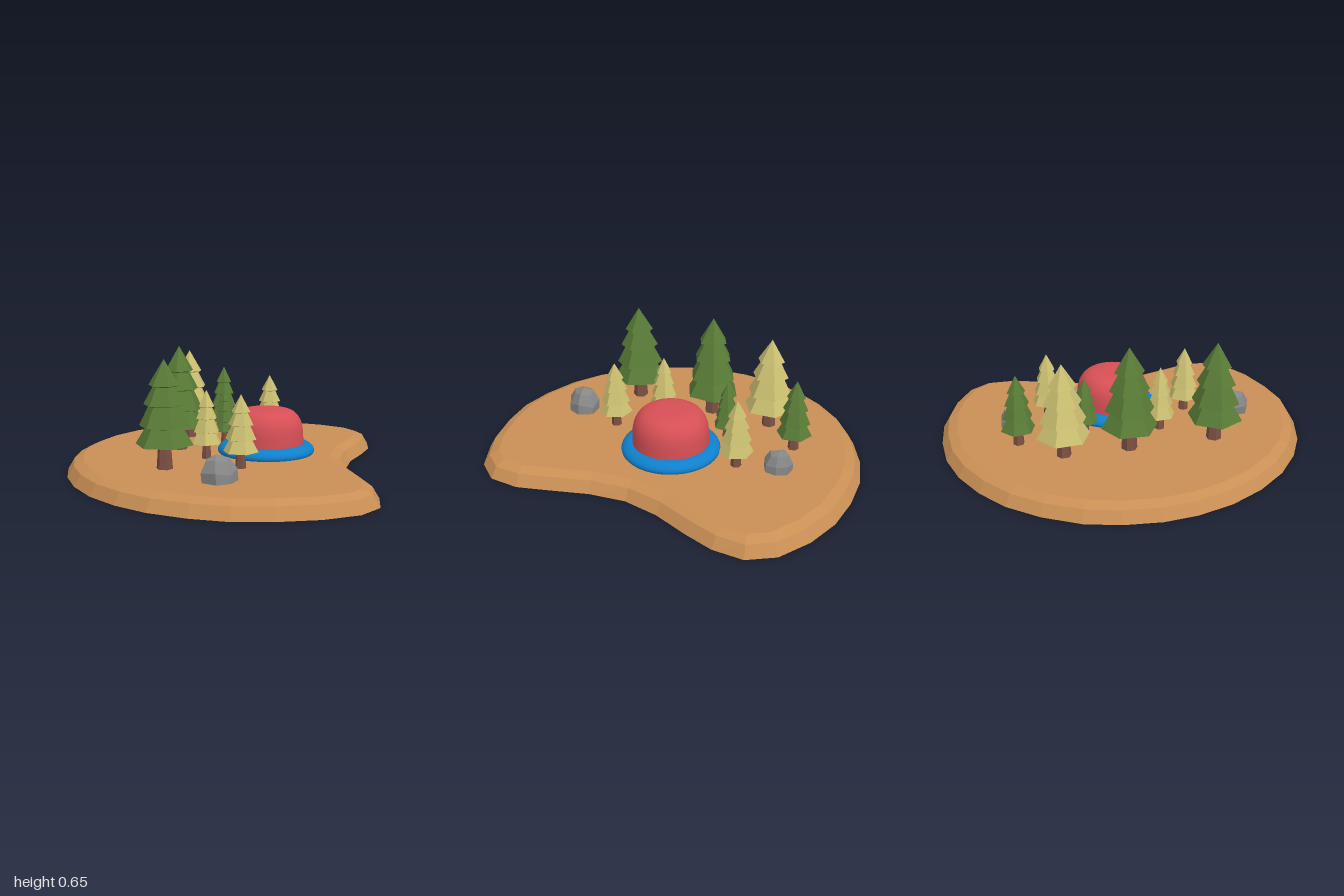
import * as THREE from 'three';

const mat = (name, color) => {
  const m = new THREE.MeshStandardMaterial({ color });
  m.name = name;
  return m;
};

// Faceted normals for the low-poly parts
function facet(geometry) {
  const g = geometry.index ? geometry.toNonIndexed() : geometry;
  g.computeVertexNormals();
  return g;
}

function mesh(name, geometry, material) {
  const m = new THREE.Mesh(geometry, material);
  m.name = name;
  return m;
}

const lathe = (pts, sides) =>
  new THREE.LatheGeometry(pts.map(([r, y]) => new THREE.Vector2(r, y)), sides);

// Island outline as x, z pairs, clockwise from the back
const OUTLINE = [
  [0.15, -1], [0.345, -0.99], [0.53, -0.94], [0.7, -0.85], [0.79, -0.725], [0.795, -0.565],
  [0.755, -0.41], [0.69, -0.21], [0.665, -0.02], [0.7, 0.175], [0.765, 0.355], [0.825, 0.53],
  [0.825, 0.69], [0.74, 0.815], [0.575, 0.91], [0.38, 0.97], [0.19, 1], [0, 0.98],
  [-0.195, 0.925], [-0.365, 0.835], [-0.52, 0.71], [-0.65, 0.55], [-0.745, 0.375],
  [-0.805, 0.185], [-0.825, 0.01], [-0.81, -0.185], [-0.765, -0.365], [-0.67, -0.55],
  [-0.55, -0.705], [-0.405, -0.825], [-0.235, -0.92], [-0.05, -0.98],
];
const GROUND = 0.08;

// Kidney-shaped slab: three inset outlines joined by a bevelled wall, capped both ends
function islandGeometry() {
  const base = OUTLINE.map(([x, z]) => new THREE.Vector2(x, -z)).reverse();
  const n = base.length;
  const inset = (d) => base.map((p, i) => {
    const t = base[(i + 1) % n].clone().sub(base[(i + n - 1) % n]).normalize();
    return new THREE.Vector2(p.x - t.y * d, p.y + t.x * d);
  });
  const rings = [[0, 0], [0.035, 0.058], [0.085, GROUND]].map(([d, y]) => ({ pts: inset(d), y }));
  const pos = [], idx = [];
  rings.forEach(({ pts, y }) => pts.forEach((p) => pos.push(p.x, y, -p.y)));
  for (let r = 0; r < rings.length - 1; r++) {
    for (let i = 0; i < n; i++) {
      const a = r * n + i, b = r * n + (i + 1) % n;
      idx.push(a, b, b + n, a, b + n, a + n);
    }
  }
  const top = 2 * n;
  THREE.ShapeUtils.triangulateShape(rings[2].pts, []).forEach(([a, b, c]) => idx.push(top + a, top + b, top + c));
  THREE.ShapeUtils.triangulateShape(rings[0].pts, []).forEach(([a, b, c]) => idx.push(a, c, b));
  const g = new THREE.BufferGeometry();
  g.setAttribute('position', new THREE.Float32BufferAttribute(pos, 3));
  g.setIndex(idx);
  return facet(g);
}

// Six-sided conifer: stacked skirts with undercut edges on a tapered trunk
function makeTree(name, h, r, leaf, bark) {
  const tree = new THREE.Group();
  tree.name = name;
  const profile = [[0, 0.22 * h]];
  const tiers = [[0.225, 1, 0.64], [0.395, 0.87, 0.53], [0.59, 0.71, 0.38], [0.765, 0.53, 0]];
  tiers.forEach(([y, w, neck], i) => {
    const nextY = i < 3 ? tiers[i + 1][0] - 0.012 : 1;
    profile.push([w * r * 0.8, (y - 0.01) * h], [w * r, y * h], [neck * r, nextY * h]);
  });
  tree.add(mesh('foliage', facet(lathe(profile, 6)), leaf));
  const trunk = new THREE.CylinderGeometry(0.058 * h, 0.077 * h, 0.26 * h, 6);
  trunk.translate(0, 0.12 * h, 0);
  tree.add(mesh('trunk', facet(trunk), bark));
  return tree;
}

// Chunky rock: faceted dome with uneven vertices
function rockGeometry(r, h, seed) {
  const g = lathe([[r * 0.97, -0.02], [r * 0.96, h * 0.38], [r * 0.62, h * 0.82], [0, h]], 7);
  const p = g.attributes.position;
  for (let i = 0; i < p.count; i++) {
    const x = p.getX(i), y = p.getY(i), z = p.getZ(i);
    const a = Math.atan2(x, z);
    const k = 1 + 0.09 * Math.sin(2 * a + seed);
    const lift = y > 0 ? 0.09 * h * Math.sin(a * 3 + seed) * Math.hypot(x, z) / r : 0;
    p.setXYZ(i, x * k - 0.1 * y, y + lift, z * k);
  }
  return facet(g);
}

export function createModel() {
  const model = new THREE.Group();
  model.name = 'island';
  const sand = mat('sand', 0xc98f55);
  const green = mat('dark green', 0x587a36);
  const straw = mat('straw yellow', 0xcabe70);
  const bark = mat('bark', 0x7d5043);
  const stone = mat('stone grey', 0x868686);
  const red = mat('red', 0xd64f55);
  const blue = mat('blue', 0x0f80cc);

  model.add(mesh('ground', islandGeometry(), sand));

  // Domed hut on a rounded ring
  const hut = new THREE.Group();
  hut.name = 'hut';
  hut.position.set(0.235, 0, -0.035);
  hut.add(mesh('baseRing', lathe([
    [0.25, 0.075], [0.258, 0.085], [0.26, 0.097], [0.255, 0.11], [0.243, 0.122],
    [0.226, 0.131], [0.208, 0.134], [0.185, 0.13],
  ], 40), blue));
  const domeCurve = new THREE.SplineCurve([
    [0.203, 0.12], [0.201, 0.17], [0.197, 0.215], [0.185, 0.256], [0.158, 0.293],
    [0.12, 0.312], [0.07, 0.319], [0, 0.32],
  ].map(([x, y]) => new THREE.Vector2(x, y)));
  const domePoints = domeCurve.getPoints(24);
  domePoints[24].x = 0;
  hut.add(mesh('dome', new THREE.LatheGeometry(domePoints, 40), red));
  model.add(hut);

  // Trees: x, z, height, radius, turn, colour
  [
    [-0.24, -0.035, 0.566, 0.15, 0, green],
    [-0.22, 0.43, 0.545, 0.147, 0.52, green],
    [-0.25, -0.38, 0.51, 0.14, 0.1, straw],
    [-0.08, -0.597, 0.392, 0.093, 0.2, green],
    [0.217, -0.405, 0.37, 0.088, 0.52, straw],
    [-0.02, -0.235, 0.315, 0.073, 0, green],
    [-0.055, 0.172, 0.36, 0.083, 0.1, straw],
    [0.15, 0.36, 0.37, 0.09, 0.45, straw],
  ].forEach(([x, z, h, r, turn, leaf], i) => {
    const tree = makeTree(`tree${i + 1}`, h, r, leaf, bark);
    tree.position.set(x, GROUND, z);
    tree.rotation.y = turn;
    model.add(tree);
  });

  // Rocks: x, z, radius, height, seed
  [[0.15, -0.607, 0.072, 0.105, 1], [0.085, 0.625, 0.093, 0.125, 2.6]].forEach(([x, z, r, h, seed], i) => {
    const rock = mesh(`rock${i + 1}`, rockGeometry(r, h, seed), stone);
    rock.position.set(x, GROUND, z);
    model.add(rock);
  });

  return model;
}
